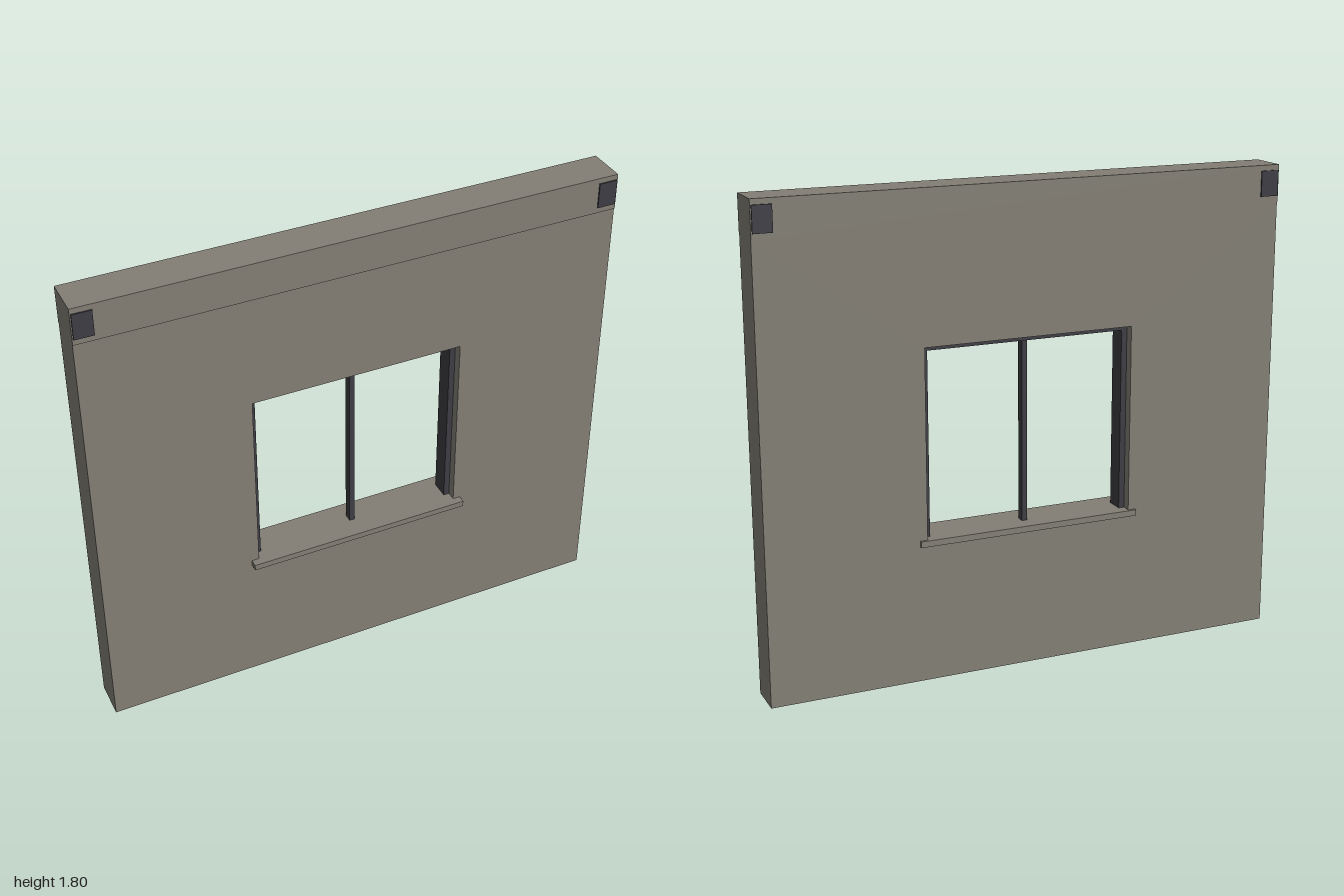
import * as THREE from 'three';

export function createModel() {
  const model = new THREE.Group();
  model.name = 'wallWithWindow';
  const concrete = new THREE.MeshStandardMaterial({ name: 'warm grey concrete', color: 0x827e74 });
  const metal = new THREE.MeshStandardMaterial({ name: 'dark metal', color: 0x3c3c43 });

  // Box given by its extents along each axis
  function box(name, material, [x0, x1], [y0, y1], [z0, z1], parent = model) {
    const mesh = new THREE.Mesh(new THREE.BoxGeometry(x1 - x0, y1 - y0, z1 - z0), material);
    mesh.position.set((x0 + x1) / 2, (y0 + y1) / 2, (z0 + z1) / 2);
    mesh.name = name;
    parent.add(mesh);
    return mesh;
  }

  // Rectangle outline, used for the wall and its opening
  function rectangle(path, x0, y0, x1, y1) {
    path.moveTo(x0, y0);
    path.lineTo(x1, y0);
    path.lineTo(x1, y1);
    path.lineTo(x0, y1);
    path.closePath();
    return path;
  }

  const open = 0.402, sillTop = 0.54, head = 1.245;

  // Wall slab with the window opening
  const outline = rectangle(new THREE.Shape(), -1, 0, 1, 1.665);
  outline.holes.push(rectangle(new THREE.Path(), -open, 0.53, open, head));
  const slab = new THREE.ExtrudeGeometry(outline, { depth: 0.14, bevelEnabled: false });
  slab.translate(0, 0, -0.08);
  const wall = new THREE.Mesh(slab, concrete);
  wall.name = 'wall';
  model.add(wall);

  // Slightly proud beam along the top
  box('topBeam', concrete, [-1, 1], [1.663, 1.8], [-0.084, 0.064]);

  // Dark end plates on both faces of the beam
  for (const side of [-1, 1]) {
    for (const [face, z] of [['front', [0.063, 0.069]], ['back', [-0.089, -0.083]]]) {
      const plate = box(face + 'BeamPlate', metal, [-0.035, 0.035], [1.685, 1.78], z);
      plate.position.x = side * 0.961;
    }
  }

  // Sill running through the opening, deeper at the front
  box('sill', concrete, [-0.43, 0.43], [0.517, sillTop], [-0.09, 0.09]);

  // Window frame: jambs, head rail and central mullion
  const frame = new THREE.Group();
  frame.name = 'windowFrame';
  model.add(frame);
  const depth = [-0.045, 0.025];
  box('rightJamb', metal, [-open, -0.38], [sillTop, head], depth, frame);
  box('leftJamb', metal, [0.38, open], [sillTop, head], depth, frame);
  box('headRail', metal, [-0.38, 0.38], [1.225, head], depth, frame);
  box('mullion', metal, [-0.01, 0.01], [sillTop, 1.225], [-0.027, 0.007], frame);

  return model;
}
